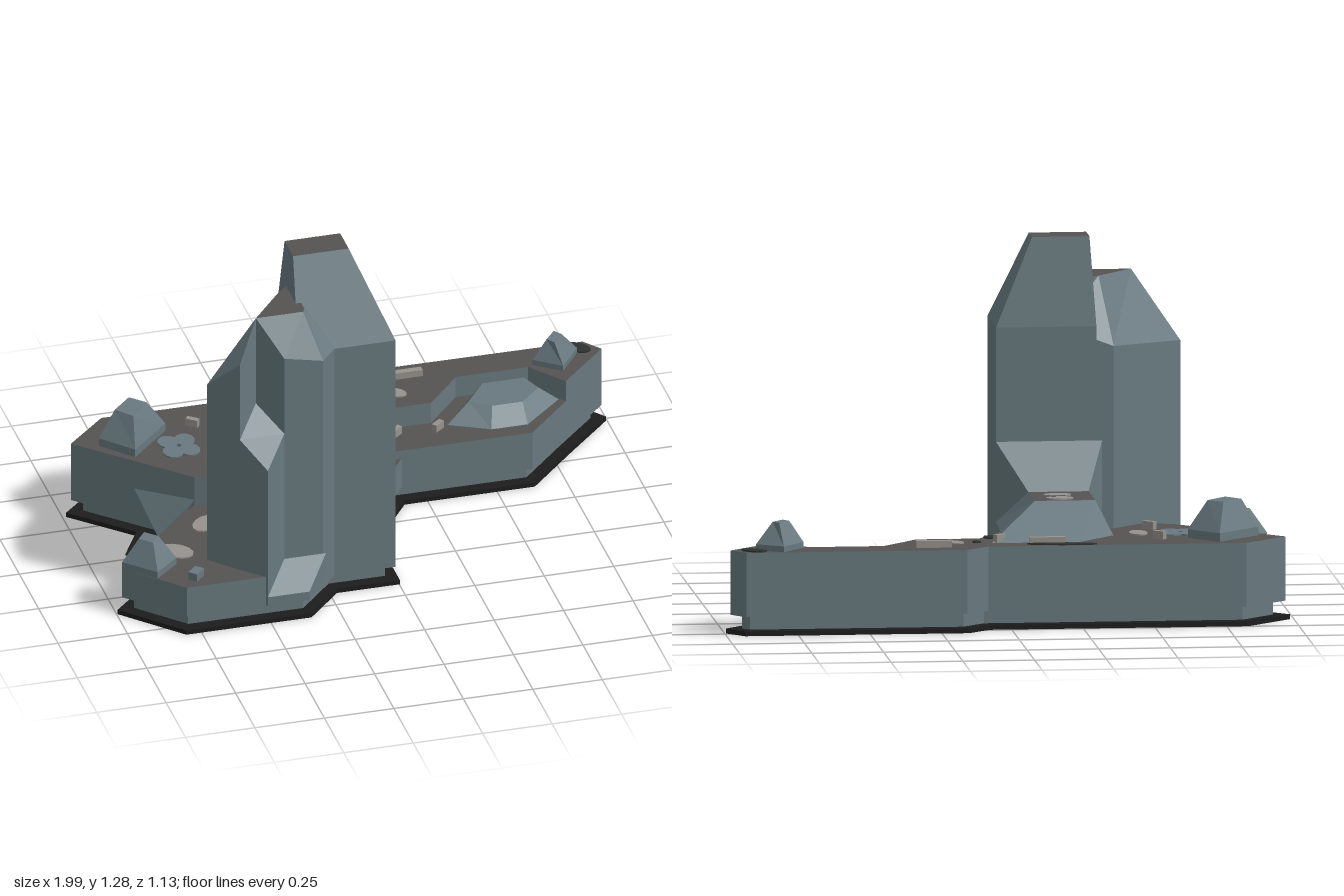
import * as THREE from 'three';

const flat = (color) => new THREE.MeshStandardMaterial({ color, side: THREE.DoubleSide, flatShading: true });

export function createModel() {
  const group = new THREE.Group();
  const named = (name, color) => Object.assign(flat(color), { name });
  const cladding = named('blue grey cladding', 0x68797f);
  const roofing = named('roof grey', 0x555252);
  const black = named('base black', 0x1d1d1d);
  const pale = named('pale fittings', 0x96928d);
  const dark = named('dark patches', 0x303232);

  const add = (name, geometry, material) => {
    const m = new THREE.Mesh(geometry, material);
    m.name = name;
    group.add(m);
    return m;
  };
  const fromTriangles = (name, pts, material) => {
    const g = new THREE.BufferGeometry();
    g.setAttribute('position', new THREE.Float32BufferAttribute(pts.flat(), 3));
    g.computeVertexNormals();
    return add(name, g, material);
  };
  // Lift plan points [x, z] to a height
  const at = (plan, y) => plan.map(([x, z]) => [x, y, z]);
  // Skin between two rows of 3D points
  const loft = (name, a, b, material = cladding, closed = true) => {
    const pts = [];
    const n = a.length;
    for (let i = 0; i < (closed ? n : n - 1); i++) {
      const j = (i + 1) % n;
      pts.push(a[i], b[j], a[j], a[i], b[i], b[j]);
    }
    return fromTriangles(name, pts, material);
  };
  const wall = (name, plan, y0, y1, closed = false) => loft(name, at(plan, y0), at(plan, y1), cladding, closed);
  // Horizontal face over a plan outline
  const slab = (name, plan, y, material = roofing) => {
    const v = plan.map(([x, z]) => new THREE.Vector2(x, z));
    const up = THREE.ShapeUtils.isClockWise(v);
    const pts = THREE.ShapeUtils.triangulateShape(v, []).flatMap((t) => (up ? t : [...t].reverse()).map((i) => [plan[i][0], y, plan[i][1]]));
    return fromTriangles(name, pts, material);
  };
  // Offset an outline along its mitred corners
  const offset = (plan, d) => plan.map((p, i) => {
    const n = plan.length, a = plan[(i + n - 1) % n], b = plan[(i + 1) % n];
    const u = new THREE.Vector2(p[0] - a[0], p[1] - a[1]).normalize();
    const w = new THREE.Vector2(b[0] - p[0], b[1] - p[1]).normalize();
    const k = d / Math.max(0.4, 1 + u.dot(w));
    return [p[0] + (u.y + w.y) * k, p[1] - (u.x + w.x) * k];
  });

  // Plan outlines
  const rear = [[-0.62, 0], [-0.97, -0.34], [-0.82, -0.485], [0.08, -0.48], [0.16, -0.555], [0.93, -0.55], [0.98, -0.485], [0.8, -0.3]];
  const step = [[0.8, -0.3], [0.7, -0.43], [0.44, -0.43], [0.31, -0.28], [0.09, -0.28], [0, -0.12]];
  const wingStep = [[-0.36, 0.12], [-0.36, -0.12], [-0.52, 0.04], [-0.62, 0]];
  const wing = [[-0.62, 0], [-0.98, 0.36], [-0.8, 0.55], [-0.51, 0.55]];
  const outline = [...rear, [0.63, -0.12], [0.16, -0.12], [-0.01, 0.12], [-0.01, 0.41],
    [-0.23, 0.41], [-0.36, 0.55], [-0.8, 0.55], [-0.98, 0.36]];

  // Base rim, recessed plinth and its overhang
  const rimOut = offset(outline, 0.012), rimIn = offset(outline, -0.045), plinth = offset(outline, -0.03);
  loft('baseRimSide', at(rimOut, 0), at(rimOut, 0.017), black);
  loft('baseRimTop', at(rimOut, 0.017), at(rimIn, 0.017), black);
  loft('baseRimUnderside', at(rimOut, 0), at(rimIn, 0), black);
  wall('plinth', plinth, 0.017, 0.065, true);
  loft('plinthOverhang', at(plinth, 0.065), at(outline, 0.065));

  // Side notch with a low plate and sloping infill
  slab('notchPlate', [[-0.78, -0.16], [-0.87, 0], [-0.78, 0.16], [-0.62, 0]], 0.018, black);
  fromTriangles('notchInfill', [[-0.79, 0.18, -0.165], [-0.73, 0.02, 0], [-0.62, 0.2, 0],
    [-0.79, 0.18, 0.165], [-0.62, 0.2, 0], [-0.73, 0.02, 0]], cladding);

  // Rear podium, right terrace, low terrace and front wing
  wall('rearPodiumWall', rear, 0.065, 0.29);
  wall('terraceStep', step, 0.21, 0.29);
  wall('rightTerraceWall', [[0.8, -0.3], [0.63, -0.12], [0.16, -0.12]], 0.065, 0.21);
  wall('lowTerraceStep', [[0.16, -0.12], [0, -0.12], [-0.01, 0.12]], 0.18, 0.21);
  wall('innerCourtWall', [[0, -0.12], [-0.01, 0.12]], 0.18, 0.29);
  wall('lowTerraceWall', [[0.16, -0.12], [-0.01, 0.12]], 0.065, 0.18);
  wall('frontWingWall', wing, 0.065, 0.18);
  wall('frontWingStep', wingStep, 0.18, 0.29);
  slab('rearPodiumRoof', [...rear, ...step.slice(1), [-0.01, 0.12], ...wingStep.slice(0, 3)], 0.29);
  slab('rightTerraceRoof', [...step, [0.16, -0.12], [0.63, -0.12]], 0.21);
  slab('lowTerraceRoof', [[0.16, -0.12], [-0.01, 0.12], [0, -0.12]], 0.18);
  slab('frontWingRoof', [...wing, [-0.43, 0.47], ...wingStep.slice(0, 3)], 0.18);

  // Main tower with tapered crown
  const eave = [[-0.01, 0.12], [-0.01, 0.41], [-0.36, 0.41], [-0.36, 0.12]];
  const crown = [[-0.14, 0.16], [-0.14, 0.27], [-0.34, 0.27], [-0.34, 0.16]];
  wall('mainTowerFront', [[-0.01, 0.12], [-0.01, 0.41], [-0.23, 0.41]], 0.065, 0.97);
  wall('mainTowerBack', [[-0.36, 0.12], [-0.01, 0.12]], 0.29, 0.97);
  loft('mainTowerCrown', at(eave, 0.97), at(crown, 1.28));
  slab('mainTowerRoof', crown, 1.28);

  // Side tower with a V-shaped front recess
  const sideEave = [[-0.68, 0.88, 0.38], [-0.59, 1.0, 0.48], [-0.51, 1.13, 0.4], [-0.43, 1.0, 0.48],
    [-0.29, 0.97, 0.48], [-0.23, 0.97, 0.41], [-0.23, 0.97, 0.12], [-0.42, 0.9, 0.12]];
  const peak = [-0.51, 1.13, 0.4];
  const sideTop = [peak, peak, peak, peak, [-0.34, 1.13, 0.4], [-0.33, 1.13, 0.38], [-0.33, 1.13, 0.2], [-0.38, 1.13, 0.24]];
  loft('sideTowerWall', sideEave.map(([x, , z], i) => [x, i === 4 || i === 5 ? 0.065 : 0.18, z]), sideEave);
  loft('sideTowerCrown', sideEave, sideTop);
  slab('sideTowerRoof', sideTop.slice(3).map(([x, , z]) => [x, z]), 1.13);

  // Buttress filling the recess, with a slanted cap
  const bay = [[-0.59, 0.6999, 0.48], [-0.51, 0.605, 0.555], [-0.43, 0.7, 0.48], [-0.51, 0.79, 0.4]];
  loft('buttressWall', bay.map(([x, , z]) => [x, 0.065, z]), bay);
  fromTriangles('buttressCap', [bay[0], bay[1], bay[2], bay[0], bay[2], bay[3]], cladding);

  // Sloping foot in front of the side tower
  const foot = [[-0.51, 0.555], [-0.36, 0.555], [-0.28, 0.47]];
  wall('towerFootWall', foot, 0.065, 0.1);
  loft('towerFootSlope', at(foot.slice(0, 2), 0.1), at([[-0.43, 0.48], [-0.28, 0.48]], 0.2), cladding, false);
  fromTriangles('towerFootEnd', [[-0.36, 0.1, 0.555], [-0.28, 0.1, 0.475], [-0.28, 0.2, 0.48]], cladding);

  // Hipped block behind the main tower
  const hipBase = at([[-0.38, 0.12], [-0.01, 0.12], [-0.01, 0.12], [0, -0.12], [0.06, -0.4], [-0.25, -0.4], [-0.38, -0.25], [-0.38, 0.12]], 0.29);
  const hipTop = [[-0.38, 0.57, 0.12], [-0.01, 0.57, 0.12], [-0.11, 0.41, 0], [-0.11, 0.41, -0.22], [-0.11, 0.41, -0.22],
    [-0.32, 0.41, -0.22], [-0.32, 0.41, -0.22], [-0.32, 0.41, 0]];
  loft('rearBlockSides', hipBase, hipTop);
  loft('rearBlockRamp', hipTop.slice(0, 2), [hipTop[7], hipTop[2]], cladding, false);
  slab('rearBlockRoof', [[-0.32, 0], [-0.11, 0], [-0.11, -0.22], [-0.32, -0.22]], 0.41);

  // Faceted rooftop houses: base outline, top outline, heights of base, eave and top
  const house = (name, base, top, y0, y1, y2) => {
    wall(name + 'Wall', base, y0, y1, true);
    loft(name + 'Slopes', at(base, y1), at(top, y2));
    slab(name + 'Top', top, y2, cladding);
  };
  house('leftRoofHouse', [[-0.88, -0.3], [-0.73, -0.45], [-0.63, -0.34], [-0.78, -0.19]],
    [[-0.82, -0.31], [-0.75, -0.38], [-0.7, -0.33], [-0.77, -0.25]], 0.29, 0.32, 0.42);
  house('rightRoofHouse', [[0.72, -0.44], [0.8, -0.545], [0.89, -0.48], [0.81, -0.37]],
    [[0.77, -0.44], [0.81, -0.49], [0.83, -0.46], [0.79, -0.41]], 0.29, 0.31, 0.385);
  house('terraceDome', [[0.36, -0.25], [0.52, -0.435], [0.7, -0.435], [0.78, -0.32], [0.63, -0.18], [0.5, -0.18]],
    [[0.45, -0.3], [0.53, -0.41], [0.68, -0.41], [0.71, -0.33], [0.63, -0.25], [0.52, -0.25]], 0.2, 0.21, 0.262);
  house('wingEndHouse', [[-0.98, 0.36], [-0.9, 0.275], [-0.79, 0.38], [-0.88, 0.46]],
    [[-0.92, 0.36], [-0.89, 0.32], [-0.85, 0.36], [-0.88, 0.4]], 0.18, 0.205, 0.29);

  // Thin oval roof patches: x, y, z, half width, half depth, turn
  const patch = (name, material, [x, y, z, rx, rz, turn = 0]) => {
    const m = add(name, new THREE.CylinderGeometry(1, 1, 0.005, 12), material);
    m.scale.set(rx, 1, rz);
    m.position.set(x, y + 0.003, z);
    m.rotation.y = turn;
  };
  [[-0.47, 0.29, -0.22, 0.032, 0.055], [-0.2, 0.41, -0.18, 0.048, 0.03], [-0.2, 0.41, -0.1, 0.048, 0.03],
    [0.2, 0.29, -0.38, 0.05, 0.03, -0.6], [-0.62, 0.18, 0.14, 0.06, 0.04, 0.8], [-0.77, 0.18, 0.3, 0.065, 0.045, -0.7],
  ].forEach((p) => patch('palePatch', pale, p));
  [[-0.18, 0.29, -0.46, 0.12, 0.02, -0.1], [0.05, 0.29, -0.27, 0.025, 0.03], [-0.03, 0.29, -0.2, 0.06, 0.025, 0.9],
    [0.11, 0.29, -0.38, 0.015, 0.02], [0.9, 0.29, -0.51, 0.05, 0.03, -0.7], [-0.2, 0.41, -0.14, 0.025, 0.012],
  ].forEach((p) => patch('darkPatch', dark, p));
  for (const sx of [-1, 1]) for (const sz of [-1, 1])
    patch('landingPad', cladding, [-0.615 + sx * 0.03, 0.29, -0.22 + sz * 0.035, 0.036, 0.042]);

  // Small rooftop boxes and posts: x, y, z, width, height, depth, turn
  const box = (name, material, [x, y, z, w, h, d, turn = 0]) => {
    const m = add(name, new THREE.BoxGeometry(w, h, d), material);
    m.position.set(x, y + h / 2, z);
    m.rotation.y = turn;
  };
  box('longVent', pale, [0.27, 0.29, -0.48, 0.125, 0.024, 0.025]);
  box('longVent', pale, [-0.13, 0.29, -0.43, 0.125, 0.024, 0.025]);
  [[-0.53, 0.29, -0.35, -0.7], [-0.52, 0.29, -0.11, -0.7], [-0.43, 0.18, 0.04, -0.7], [0.03, 0.29, -0.38, 0.7],
    [0.17, 0.21, -0.23, 0.7], [0.32, 0.21, -0.23, 0.7],
  ].forEach(([x, y, z, t]) => box('roofPost', pale, [x, y, z, 0.045, 0.028, 0.02, t]));
  box('wingVent', cladding, [-0.75, 0.18, 0.49, 0.05, 0.03, 0.035, 0.8]);

  return group;
}
